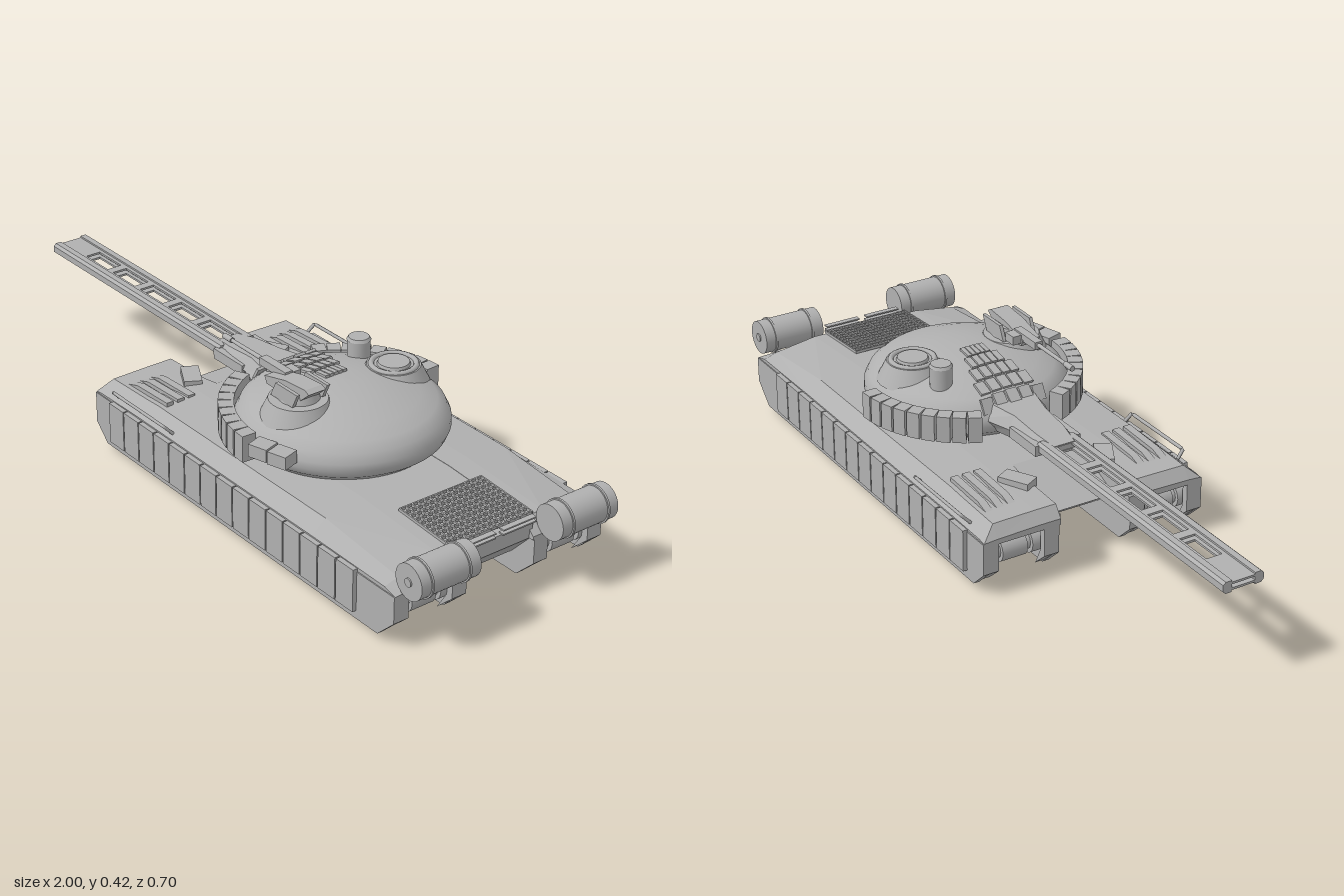
import * as THREE from 'three';

const paint = new THREE.MeshStandardMaterial({ color: 0xb0b0b0, side: THREE.DoubleSide });
paint.name = 'grey paint';

function add(parent, name, geometry, x = 0, y = 0, z = 0) {
  const m = new THREE.Mesh(geometry, paint);
  m.name = name;
  m.position.set(x, y, z);
  parent.add(m);
  return m;
}
// box given by its limits
function block(parent, name, x0, x1, y0, y1, z0, z1) {
  return add(parent, name, new THREE.BoxGeometry(x1 - x0, y1 - y0, z1 - z0), (x0 + x1) / 2, (y0 + y1) / 2, (z0 + z1) / 2);
}
// side profile (x, y) extruded from z0 to z1
function plate(parent, name, pts, z0, z1) {
  const shape = new THREE.Shape(pts.map(p => new THREE.Vector2(...p)));
  return add(parent, name, new THREE.ExtrudeGeometry(shape, { depth: z1 - z0, bevelEnabled: false }), 0, 0, z0);
}
// flat-faced skin through equal rings of [x, y, z] points, capped at both ends
function loft(rings) {
  const v = [], n = rings[0].length;
  const tri = (a, b, c) => v.push(...a, ...b, ...c);
  for (let r = 0; r < rings.length - 1; r++) {
    for (let i = 0; i < n; i++) {
      const j = (i + 1) % n, a = rings[r], b = rings[r + 1];
      tri(a[i], b[i], b[j]);
      tri(a[i], b[j], a[j]);
    }
  }
  const end = rings[rings.length - 1];
  for (let i = 1; i < n - 1; i++) {
    tri(rings[0][0], rings[0][i], rings[0][i + 1]);
    tri(end[0], end[i + 1], end[i]);
  }
  const g = new THREE.BufferGeometry();
  g.setAttribute('position', new THREE.Float32BufferAttribute(v, 3));
  g.computeVertexNormals();
  return g;
}
// cylinder lying along z
function roller(parent, name, r, x, y, z0, z1, seg = 24) {
  return add(parent, name, new THREE.CylinderGeometry(r, r, z1 - z0, seg).rotateX(Math.PI / 2), x, y, (z0 + z1) / 2);
}
// cylinder lying along x
function rod(parent, name, r0, r1, x0, x1, y, z, seg = 12) {
  return add(parent, name, new THREE.CylinderGeometry(r1, r0, x1 - x0, seg).rotateZ(-Math.PI / 2), (x0 + x1) / 2, y, z);
}

// everything that repeats on both sides, built on +z
function buildSide(side) {
  // sloped fender
  const rings = [[-0.36, 0.162, 0.165, 0.168], [-0.335, 0.165, 0.198, 0.2], [-0.18, 0.168, 0.203, 0.206],
    [-0.12, 0.168, 0.206, 0.215], [0.6, 0.168, 0.206, 0.215], [0.88, 0.165, 0.178, 0.197], [0.92, 0.155, 0.157, 0.16]]
    .map(([x, edge, mid, top]) => [[x, 0.15, 0.105], [x, 0.15, 0.335], [x, edge, 0.335], [x, mid, 0.295], [x, top, 0.17], [x, top, 0.105]]);
  add(side, 'fender', loft(rings));
  // track walls with thickened ends
  const wall = [[-0.36, 0.16], [-0.36, 0.07], [-0.31, 0.022], [0.86, 0.022], [0.92, 0.08], [0.92, 0.155]];
  plate(side, 'outerTrackWall', wall, 0.321, 0.338);
  plate(side, 'innerTrackWall', wall, 0.11, 0.13);
  for (const [z0, z1] of [[0.292, 0.33], [0.115, 0.155]]) {
    plate(side, 'rearCorner', [[0.865, 0.03], [0.92, 0.08], [0.92, 0.155], [0.9, 0.155], [0.9, 0.085]], z0, z1);
    plate(side, 'frontCorner', [[-0.315, 0.03], [-0.36, 0.07], [-0.36, 0.16], [-0.34, 0.16], [-0.34, 0.08]], z0, z1);
  }
  // skirt panels
  const w = 1.06 / 15;
  for (let i = 0; i < 15; i++) {
    const x = -0.28 + i * w;
    block(side, 'skirtPanel', x + 0.002, x + w - 0.002, 0.045, 0.165, 0.336, 0.35);
  }
  // road wheels and end wheels
  const discs = [[0.135, 0.175], [0.19, 0.265], [0.28, 0.318]];
  for (let i = 0; i < 8; i++) {
    const x = -0.195 + i * 0.137;
    for (const [a, b] of discs) roller(side, 'roadWheel', 0.066, x, 0.068, a, b);
    roller(side, 'wheelHub', 0.045, x, 0.068, 0.135, 0.318, 16);
  }
  for (const x of [-0.3, 0.865]) {
    for (const [a, b] of discs) roller(side, 'endWheel', 0.036, x, 0.098, a, b, 16);
    roller(side, 'endAxle', 0.025, x, 0.098, 0.12, 0.325, 12);
  }
  // fuel drum with rims and bracket
  roller(side, 'fuelDrum', 0.049, 0.946, 0.204, 0.132, 0.317, 32);
  for (const z of [0.167, 0.284]) roller(side, 'drumRim', 0.053, 0.946, 0.204, z - 0.003, z + 0.003, 32);
  for (const z of [0.18, 0.265]) block(side, 'drumBracket', 0.87, 0.93, 0.15, 0.165, z, z + 0.012);
  roller(side, 'drumCap', 0.012, 0.946, 0.204, 0.315, 0.321, 12);
  // handrail
  const rail = new THREE.CurvePath();
  const p = [[-0.27, 0.178, 0.322], [-0.265, 0.2, 0.343], [-0.02, 0.2, 0.343], [-0.015, 0.178, 0.322]].map(q => new THREE.Vector3(...q));
  for (let i = 0; i < 3; i++) rail.add(new THREE.LineCurve3(p[i], p[i + 1]));
  add(side, 'handrail', new THREE.TubeGeometry(rail, 30, 0.005, 6));
  // front deck wedges
  for (const z of [0.19, 0.225, 0.26]) {
    plate(side, 'deckWedge', [[-0.28, 0.2], [-0.1, 0.2], [-0.1, 0.219], [-0.24, 0.213]], z, z + 0.022);
  }
  const lamp = block(side, 'headlampGuard', -0.24, -0.15, 0.195, 0.222, 0.11, 0.16);
  lamp.rotation.y = -0.5;
  block(side, 'towHook', -0.31, -0.27, 0.13, 0.15, 0.075, 0.095);
  // rear exhaust slit frame
  for (const y of [0.194, 0.206]) block(side, 'rearSlit', 0.895, 0.912, y, y + 0.004, 0.012, 0.12);
}

// turret roof profile: radius, height
const roof = [[0, 0.371], [0.05, 0.37], [0.1, 0.364], [0.15, 0.353], [0.2, 0.338], [0.245, 0.321], [0.27, 0.3], [0.282, 0.275], [0.283, 0.255], [0.275, 0.235], [0.255, 0.22], [0.24, 0.205]];
function roofY(r) {
  for (let i = 1; i < 9; i++) {
    const [a, ya] = roof[i - 1], [b, yb] = roof[i];
    if (r <= b) return ya + (yb - ya) * (r - a) / (b - a);
  }
  return 0.25;
}

function buildTurret(turret) {
  const cx = 0.295;
  add(turret, 'turretShell', new THREE.LatheGeometry(roof.map(q => new THREE.Vector2(...q)).reverse(), 64), cx, 0, 0);
  // armour bricks around the front cheeks
  for (const s of [1, -1]) {
    for (let i = 0; i < 9; i++) {
      const a = (93 + i * 7.6) * Math.PI / 180;
      const b = add(turret, 'cheekBrick', new THREE.BoxGeometry(0.037, 0.075, 0.042),
        cx + Math.cos(a) * 0.303, 0.271, s * Math.sin(a) * 0.303);
      b.rotation.y = s * (Math.PI / 2 - a);
    }
  }
  // stowage boxes
  for (const [x, s] of [[0.35, 1], [0.41, 1]]) {
    const b = add(turret, 'stowageBox', new THREE.BoxGeometry(0.056, 0.036, 0.05), x, 0.288, s * (0.3 - (x - 0.35) * 0.25));
    b.rotation.y = 0.3;
  }
  // fan of thin roof tiles
  for (let r = 0; r < 5; r++) {
    const x = 0.045 + r * 0.05, half = 0.1 - r * 0.016;
    for (let c = 0; c < 5; c++) {
      const z = (c - 2) * half * 0.4, d = Math.hypot(x - cx, z);
      const t = add(turret, 'roofTile', new THREE.BoxGeometry(0.044, 0.008, half * 0.34), x, roofY(d) + 0.002, z);
      t.rotation.z = Math.atan2(roofY(d) - roofY(d + 0.02), 0.02) * 0.95;
    }
  }
  // commander cupola and machine gun
  add(turret, 'cupolaBase', new THREE.CylinderGeometry(0.078, 0.105, 0.06, 32), 0.3, 0.338, 0.15);
  add(turret, 'cupolaTop', new THREE.CylinderGeometry(0.045, 0.058, 0.04, 24), 0.3, 0.378, 0.147);
  plate(turret, 'gunShield', [[0.2, 0.372], [0.33, 0.372], [0.375, 0.412], [0.36, 0.42], [0.28, 0.414], [0.19, 0.392]], 0.12, 0.175);
  for (const z of [0.094, 0.19]) plate(turret, 'shieldCheek', [[0.25, 0.37], [0.34, 0.37], [0.36, 0.412], [0.27, 0.412]], z, z + 0.01);
  rod(turret, 'machineGunBarrel', 0.005, 0.006, -0.04, 0.14, 0.4, 0.134);
  rod(turret, 'machineGunMuzzle', 0.008, 0.008, -0.04, -0.005, 0.4, 0.134);
  block(turret, 'machineGunBody', 0.13, 0.24, 0.388, 0.41, 0.122, 0.146);
  block(turret, 'ammoBox', 0.2, 0.24, 0.38, 0.405, 0.095, 0.122);
  // loader hatch and sight
  add(turret, 'hatchBase', new THREE.CylinderGeometry(0.072, 0.1, 0.055, 32), 0.3, 0.338, -0.165);
  add(turret, 'hatchRing', new THREE.TorusGeometry(0.06, 0.008, 8, 32).rotateX(Math.PI / 2), 0.3, 0.365, -0.165);
  add(turret, 'hatchLid', new THREE.CylinderGeometry(0.042, 0.045, 0.008, 24), 0.3, 0.369, -0.165);
  add(turret, 'sightPost', new THREE.CylinderGeometry(0.031, 0.031, 0.09, 24), 0.175, 0.35, -0.148);
  add(turret, 'sightCap', new THREE.CylinderGeometry(0.028, 0.033, 0.008, 24), 0.175, 0.396, -0.148);
}

function buildGun(gun) {
  // tapering mantlet
  const ring = (x, y0, y1, w) => [[x, y0, -w * 0.7], [x, y0, w * 0.7], [x, (y0 + y1) / 2, w], [x, y1, w * 0.7], [x, y1, -w * 0.7], [x, (y0 + y1) / 2, -w]];
  add(gun, 'mantlet', loft([ring(-0.21, 0.262, 0.288, 0.045), ring(-0.14, 0.248, 0.298, 0.062), ring(-0.04, 0.238, 0.308, 0.068), ring(0.06, 0.235, 0.312, 0.1)]));
  for (const z of [-0.06, 0.06]) block(gun, 'mantletBrace', -0.18, -0.05, 0.255, 0.285, z - 0.01, z + 0.01);
  // twin rails
  for (const s of [1, -1]) {
    const rail = x => [[0.259, 0.034], [0.259, 0.052], [0.266, 0.06], [0.284, 0.06], [0.291, 0.052], [0.291, 0.034]].map(([y, z]) => [x, y, s * z]);
    add(gun, 'barrelRail', loft([rail(-1), rail(-0.17)]));
  }
  // slotted plates between the rails
  const web = new THREE.Shape([[-1, -0.04], [-0.17, -0.04], [-0.17, 0.04], [-1, 0.04]].map(q => new THREE.Vector2(...q)));
  for (let i = 0; i < 5; i++) {
    const x = -0.88 + i * 0.139;
    web.holes.push(new THREE.Path([[x, -0.023], [x, 0.023], [x + 0.112, 0.023], [x + 0.112, -0.023]].map(q => new THREE.Vector2(...q))));
  }
  for (const y of [0.27, 0.286]) {
    add(gun, 'barrelWeb', new THREE.ExtrudeGeometry(web, { depth: 0.006, bevelEnabled: false }).rotateX(Math.PI / 2), 0, y, 0);
  }
}

export function createModel() {
  const model = new THREE.Group();
  model.name = 'tank';
  const group = name => {
    const g = new THREE.Group();
    g.name = name;
    model.add(g);
    return g;
  };
  const hull = group('hull');
  // central body
  plate(hull, 'hullBody', [[-0.29, 0.145], [-0.2, 0.08], [0.84, 0.08], [0.905, 0.15], [0.905, 0.194], [0.6, 0.214], [-0.12, 0.214]], -0.115, 0.115);
  // engine grille
  const grille = group('engineGrille');
  for (let i = 0; i <= 14; i++) block(grille, 'grilleBar', 0.69, 0.885, -0.004, 0.004, -0.135 + i * 0.019, -0.131 + i * 0.019);
  for (let i = 0; i <= 10; i++) block(grille, 'grilleCrossBar', 0.69 + i * 0.019, 0.694 + i * 0.019, -0.004, 0.004, -0.135, 0.135);
  grille.rotation.z = -0.065;
  grille.position.y = 0.26;
  buildSide(group('leftSide'));
  const right = group('rightSide');
  buildSide(right);
  right.scale.z = -1;
  buildTurret(group('turret'));
  buildGun(group('mainGun'));
  return model;
}
